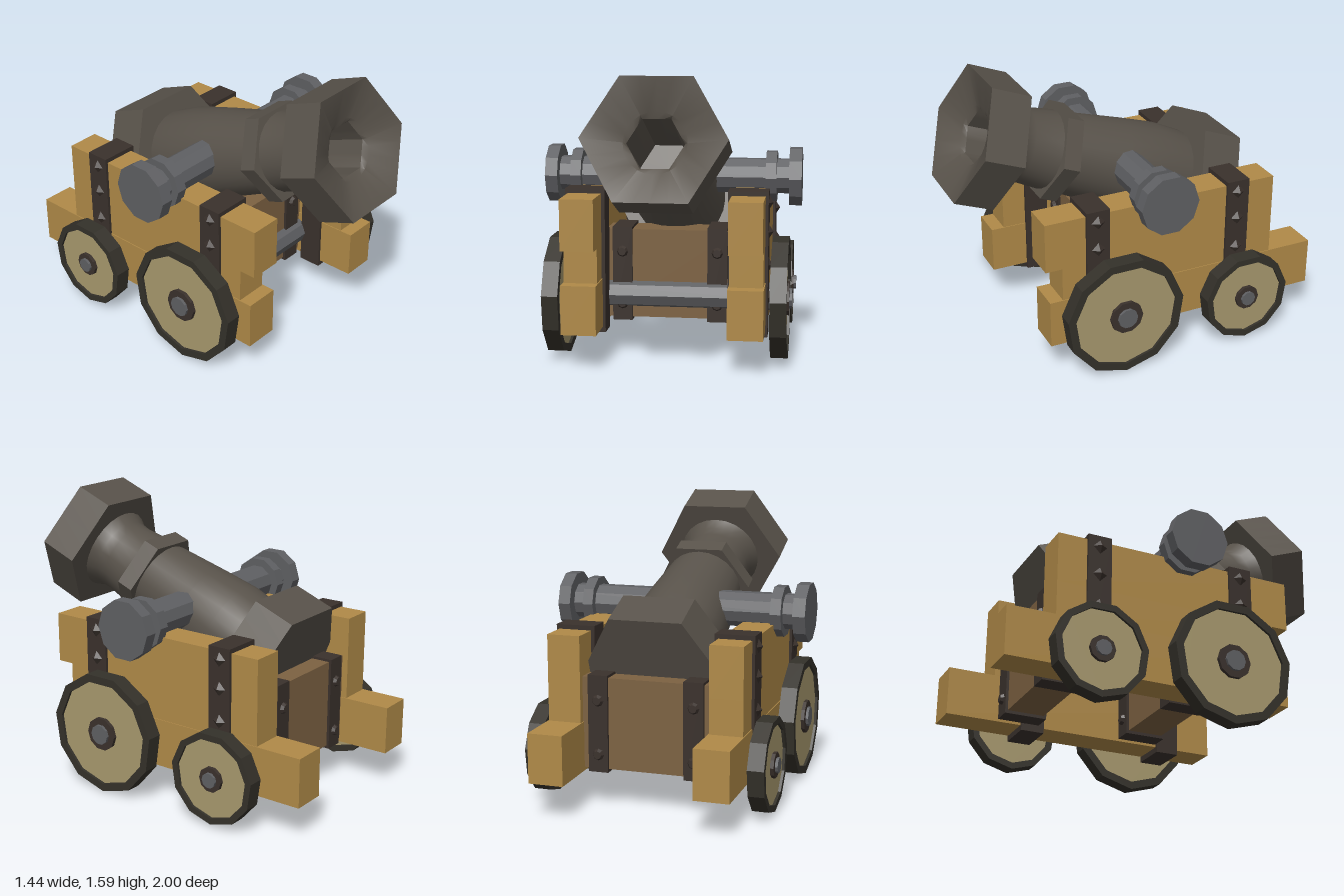
import * as THREE from 'three';
import { toCreasedNormals } from 'three/addons/utils/BufferGeometryUtils.js';

const mat = (color) => new THREE.MeshStandardMaterial({ color, flatShading: true });
const wood = mat(0xb08a48), darkWood = mat(0x7d6242), paleWood = mat(0xa8996e);
const iron = mat(0x3a312c), rimIron = mat(0x34312a), steel = mat(0x5f6063);
const bronze = new THREE.MeshStandardMaterial({ color: 0x58524a });

function add(parent, name, geometry, material, x = 0, y = 0, z = 0) {
  const mesh = new THREE.Mesh(geometry, material);
  mesh.name = name;
  mesh.position.set(x, y, z);
  parent.add(mesh);
  return mesh;
}

// Box given by its extents on each axis
function block(parent, name, material, [x0, x1], [y0, y1], [z0, z1]) {
  return add(parent, name, new THREE.BoxGeometry(x1 - x0, y1 - y0, z1 - z0), material,
    (x0 + x1) / 2, (y0 + y1) / 2, (z0 + z1) / 2);
}

// Cylinder lying along x
function rod(parent, name, material, r, [x0, x1], y, z, sides) {
  const g = new THREE.CylinderGeometry(r, r, x1 - x0, sides).rotateZ(Math.PI / 2);
  return add(parent, name, g, material, (x0 + x1) / 2, y, z);
}

// Skin over sections [t, radius, hex?] along z
function loft(sections, n = 24) {
  const rings = sections.map(([t, r, hex]) => Array.from({ length: n + 1 }, (_, j) => {
    const a = (j % n) / n * Math.PI * 2;
    const k = hex ? Math.cos(Math.PI / 6) / Math.cos((a % (Math.PI / 3)) - Math.PI / 6) : 1;
    return [Math.cos(a) * r * k, Math.sin(a) * r * k, t];
  }));
  const pos = [];
  for (let i = 0; i < rings.length - 1; i++) {
    for (let j = 0; j < n; j++) {
      const a = rings[i][j], b = rings[i][j + 1], c = rings[i + 1][j + 1], d = rings[i + 1][j];
      pos.push(...a, ...b, ...c, ...a, ...c, ...d);
    }
  }
  const g = new THREE.BufferGeometry();
  g.setAttribute('position', new THREE.Float32BufferAttribute(pos, 3));
  return toCreasedNormals(g, 0.6);
}

// Polygon with one corner pointing down
function polygon(r, n = 11) {
  return Array.from({ length: n }, (_, i) => {
    const a = -Math.PI / 2 + i / n * Math.PI * 2;
    return new THREE.Vector2(Math.cos(a) * r, Math.sin(a) * r);
  });
}

function slab(shape, depth) {
  return new THREE.ExtrudeGeometry(shape, { depth, bevelEnabled: false })
    .translate(0, 0, -depth / 2).rotateY(Math.PI / 2);
}

// Wheel with iron rim, wooden disc and stepped hub
function wheel(name, r, rim, hub, side) {
  const g = new THREE.Group();
  g.name = name;
  const ring = new THREE.Shape(polygon(r));
  ring.holes.push(new THREE.Path(polygon(r - rim).reverse()));
  add(g, 'wheelRim', slab(ring, 0.09), rimIron);
  add(g, 'wheelDisc', slab(new THREE.Shape(polygon(r - rim)), 0.06), paleWood);
  const span = (a, b) => (side > 0 ? [a, b] : [-b, -a]);
  rod(g, 'hubPlate', iron, hub, span(-0.05, 0.05), 0, 0, 10);
  rod(g, 'hubCap', steel, hub * 0.6, span(0.04, 0.065), 0, 0, 10);
  return g;
}

export function createModel() {
  const model = new THREE.Group();
  model.name = 'cannon';

  // Barrel with hexagonal bands, funnel mouth and hexagonal bore
  const barrel = add(model, 'barrel', loft([
    [-0.632, 0.001], [-0.632, 0.4, 1], [-0.385, 0.4, 1], [-0.385, 0.255],
    [-0.2, 0.268], [0.02, 0.253], [0.34, 0.225],
    [0.34, 0.277, 1], [0.44, 0.277, 1], [0.44, 0.222],
    [0.6, 0.205], [0.66, 0.21], [0.715, 0.24],
    [0.715, 0.378, 1], [0.945, 0.378, 1], [0.87, 0.165], [0.85, 0.15, 1],
    [0.35, 0.15, 1], [0.35, 0.001],
  ]), bronze, 0, 0.944, 0);
  barrel.rotation.x = -0.375;

  // Trunnion shaft
  rod(model, 'trunnionShaft', steel, 0.1, [-0.7, 0.7], 1, 0, 10);

  for (const s of [1, -1]) {
    const span = (a, b) => (s > 0 ? [a, b] : [-b, -a]);
    rod(model, 'trunnionCollar', steel, 0.145, span(0.52, 0.58), 1, 0, 10);
    rod(model, 'trunnionCap', steel, 0.167, span(0.65, 0.72), 1, 0, 10);

    // Stepped side boards
    block(model, 'lowerBoard', wood, span(0.35, 0.542), [0.2, 0.47], [-1, 0.615]);
    block(model, 'middleBoard', wood, span(0.355, 0.537), [0.47, 0.66], [-0.735, 0.54]);
    block(model, 'upperBoard', wood, span(0.355, 0.537), [0.66, 0.94], [-0.735, 0.635]);

    // Iron straps around the boards, with pyramid studs
    for (const z of [0.337, -0.505]) {
      block(model, 'sideStrap', iron, span(0.335, 0.553), [0.168, 0.965], [z - 0.067, z + 0.067]);
      for (const y of [0.9, 0.74, 0.56, 0.38]) {
        const stud = new THREE.ConeGeometry(0.04, 0.025, 4).rotateZ(-s * Math.PI / 2);
        add(model, 'strapStud', stud, iron, s * 0.565, y, z);
      }
    }

    // Wheels
    const front = wheel('frontWheel', 0.345, 0.045, 0.095, s);
    front.position.set(s * 0.615, 0.347, 0.22);
    const rear = wheel('rearWheel', 0.257, 0.036, 0.07, s);
    rear.position.set(s * 0.615, 0.275, -0.53);
    model.add(front, rear);
  }

  // Axles
  rod(model, 'frontAxle', steel, 0.078, [-0.6, 0.6], 0.353, 0.22, 8);
  rod(model, 'rearAxle', steel, 0.06, [-0.6, 0.6], 0.28, -0.53, 8);

  // Cross blocks with bolted straps
  for (const [z0, z1] of [[0.03, 0.235], [-0.7, -0.49]]) {
    block(model, 'crossBlock', darkWood, [-0.36, 0.36], [0.22, 0.718], [z0, z1]);
    for (const s of [1, -1]) {
      block(model, 'crossStrap', iron, s > 0 ? [0.21, 0.32] : [-0.32, -0.21],
        [0.203, 0.732], [z0 - 0.015, z1 + 0.015]);
      for (const y of [0.595, 0.3]) {
        for (const [z, d] of [[z0 - 0.02, -1], [z1 + 0.02, 1]]) {
          const bolt = new THREE.CylinderGeometry(0.022, 0.037, 0.025, 8).rotateX(d * Math.PI / 2);
          add(model, 'crossBolt', bolt, iron, s * 0.265, y, z);
        }
      }
    }
  }
  return model;
}
